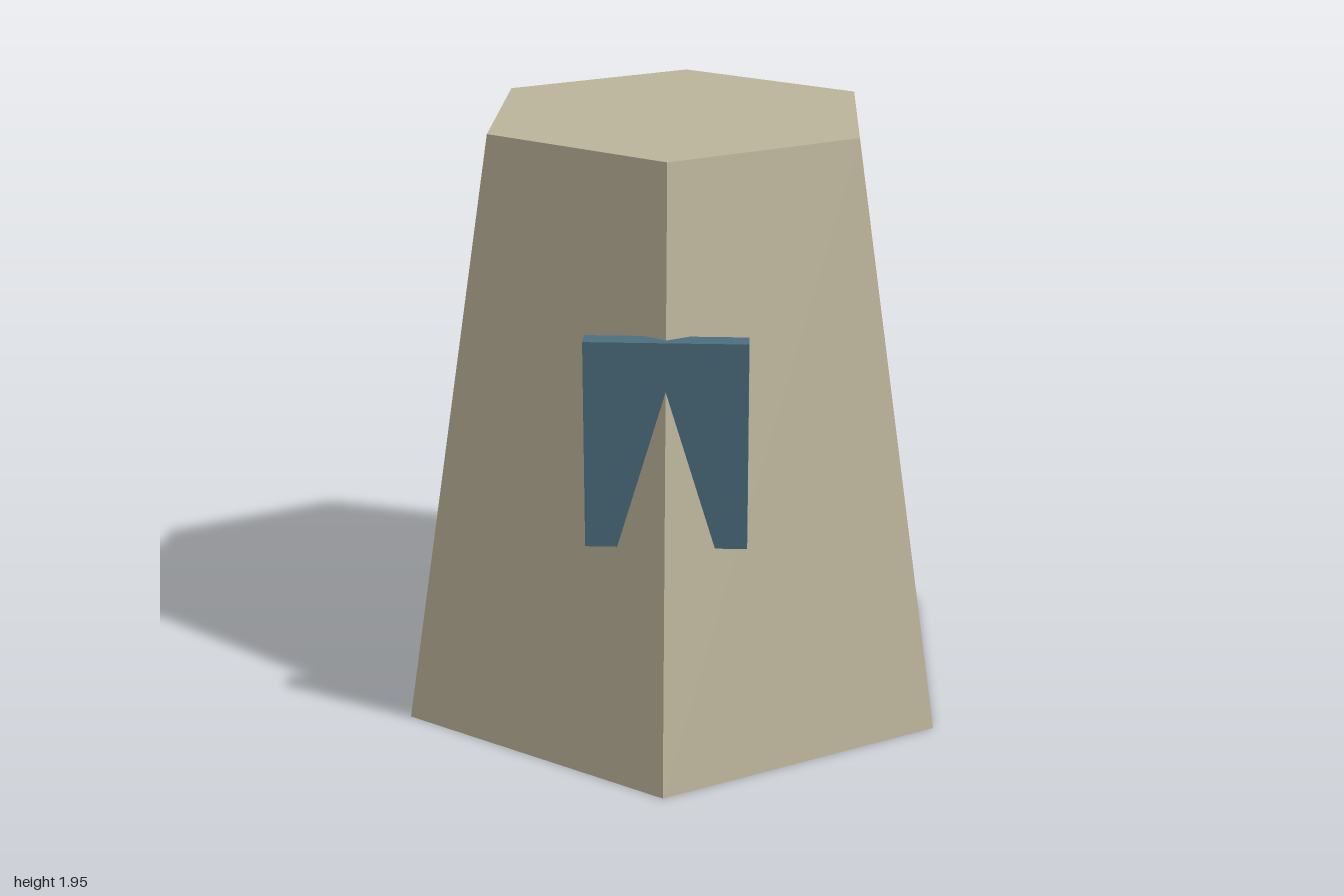
import * as THREE from 'three';

export function createModel() {
  const group = new THREE.Group();
  const stone = new THREE.MeshStandardMaterial({ color: 0xbdb59c, flatShading: true });
  stone.name = 'warm stone';
  const blue = new THREE.MeshStandardMaterial({ color: 0x4d6f80, flatShading: true });
  blue.name = 'slate blue';

  // Tapered six-sided tower, one corner facing the front
  const height = 1.945;
  const tower = new THREE.Mesh(new THREE.CylinderGeometry(0.667, 1, height, 6), stone);
  tower.name = 'tower';
  tower.position.y = height / 2;
  group.add(tower);

  // Upright panel partly sunk into the front corner
  const panel = new THREE.Mesh(new THREE.BoxGeometry(0.5, 0.665, 0.067), blue);
  panel.name = 'frontPanel';
  panel.position.set(0, 1.0875, 0.75);
  group.add(panel);

  return group;
}
